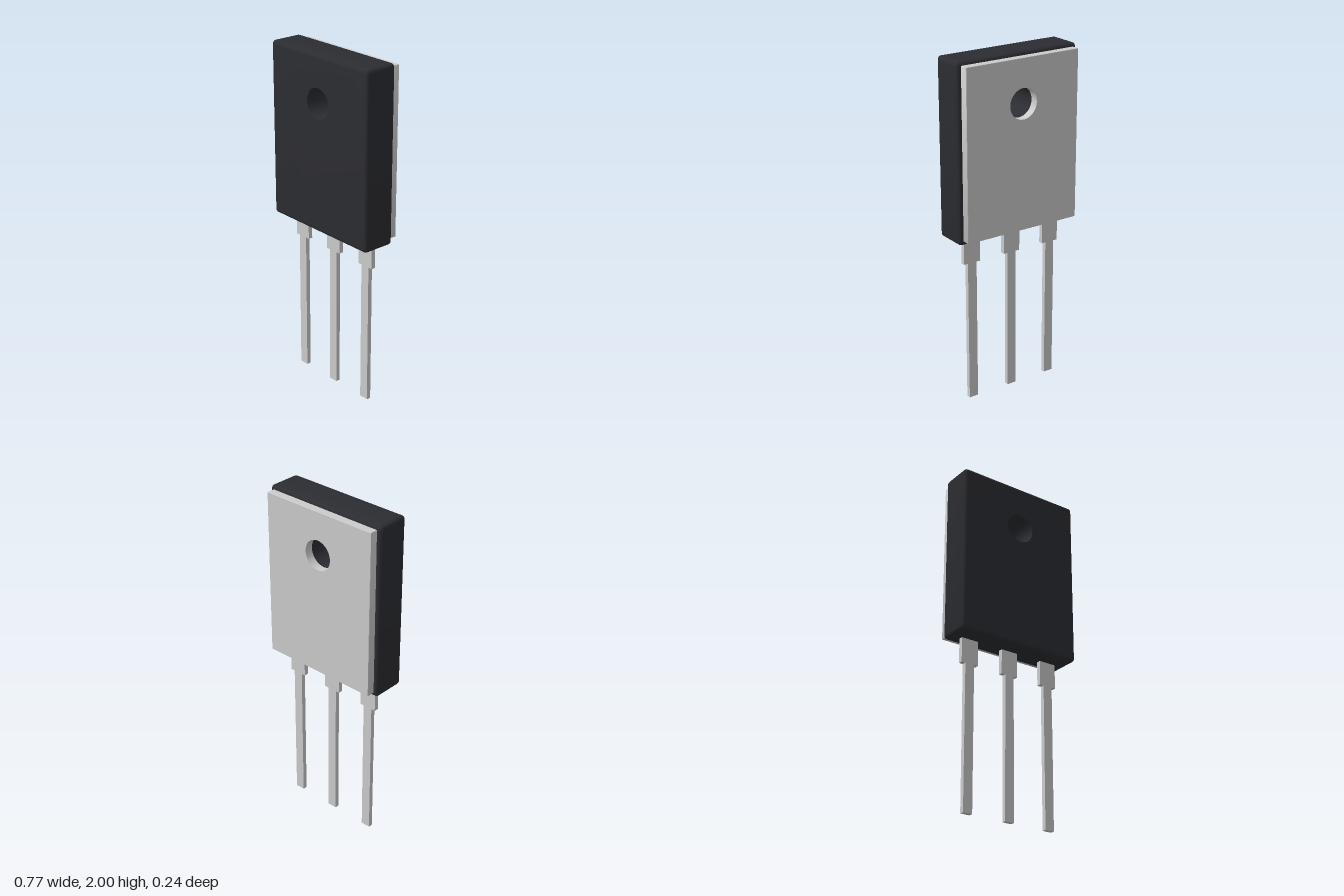
import * as THREE from 'three';
import { toCreasedNormals } from 'three/addons/utils/BufferGeometryUtils.js';

const HOLE_Y = 1.73, HOLE_R = 0.087;

// Rectangle with rounded corners and the round mounting hole
function panelShape(halfW, y0, y1, r) {
  const s = new THREE.Shape();
  s.moveTo(halfW, y0 + r);
  s.absarc(halfW - r, y1 - r, r, 0, Math.PI / 2);
  s.absarc(-halfW + r, y1 - r, r, Math.PI / 2, Math.PI);
  s.absarc(-halfW + r, y0 + r, r, Math.PI, Math.PI * 1.5);
  s.absarc(halfW - r, y0 + r, r, Math.PI * 1.5, Math.PI * 2);
  s.closePath();
  const hole = new THREE.Path();
  hole.absarc(0, HOLE_Y, HOLE_R, 0, Math.PI * 2, true);
  s.holes.push(hole);
  return s;
}

// Panel between z0 and z1, outer edges rounded, hole walls kept straight
function panelGeometry(shape, z0, z1, bevel) {
  const geo = new THREE.ExtrudeGeometry(shape, {
    depth: z1 - z0 - 2 * bevel, curveSegments: 16,
    bevelEnabled: true, bevelThickness: bevel, bevelSize: bevel,
    bevelOffset: -bevel, bevelSegments: bevel > 0.01 ? 4 : 1,
  });
  geo.translate(0, 0, z0 + bevel);
  const p = geo.attributes.position;
  for (let i = 0; i < p.count; i++) {
    const dx = p.getX(i), dy = p.getY(i) - HOLE_Y, d = Math.hypot(dx, dy);
    if (d < HOLE_R * 1.6) p.setXY(i, dx * HOLE_R / d, HOLE_Y + dy * HOLE_R / d);
  }
  return toCreasedNormals(geo, Math.PI / 5);
}

export function createModel() {
  const group = new THREE.Group();
  const black = new THREE.MeshStandardMaterial({ color: 0x2c2d32 });
  const grey = new THREE.MeshStandardMaterial({ color: 0xcccccc });
  const add = (name, geo, mat, x = 0) => {
    const mesh = new THREE.Mesh(geo, mat);
    mesh.name = name;
    mesh.position.x = x;
    group.add(mesh);
  };

  // Moulded body and the metal plate on its back
  add('body', panelGeometry(panelShape(0.386, 0.985, 2, 0.022), -0.075, 0.12, 0.02), black);
  add('backPlate', panelGeometry(panelShape(0.362, 1.01, 1.98, 0.004), -0.123, -0.075, 0.002), grey);

  // Three flat pins with wide shoulders, set into the body
  const w = 0.0285, sw = 0.053, shoulder = 0.84, top = 1.02, t = 0.026;
  const outline = [[-w, 0], [w, 0], [w, shoulder], [sw, shoulder], [sw, top],
    [-sw, top], [-sw, shoulder], [-w, shoulder]].map(([x, y]) => new THREE.Vector2(x, y));
  const pin = new THREE.ExtrudeGeometry(new THREE.Shape(outline), { depth: t, bevelEnabled: false });
  pin.translate(0, 0, -t / 2);
  [['rightPin', -0.266], ['middlePin', 0], ['leftPin', 0.266]].forEach(([name, x]) => add(name, pin, grey, x));

  return group;
}
